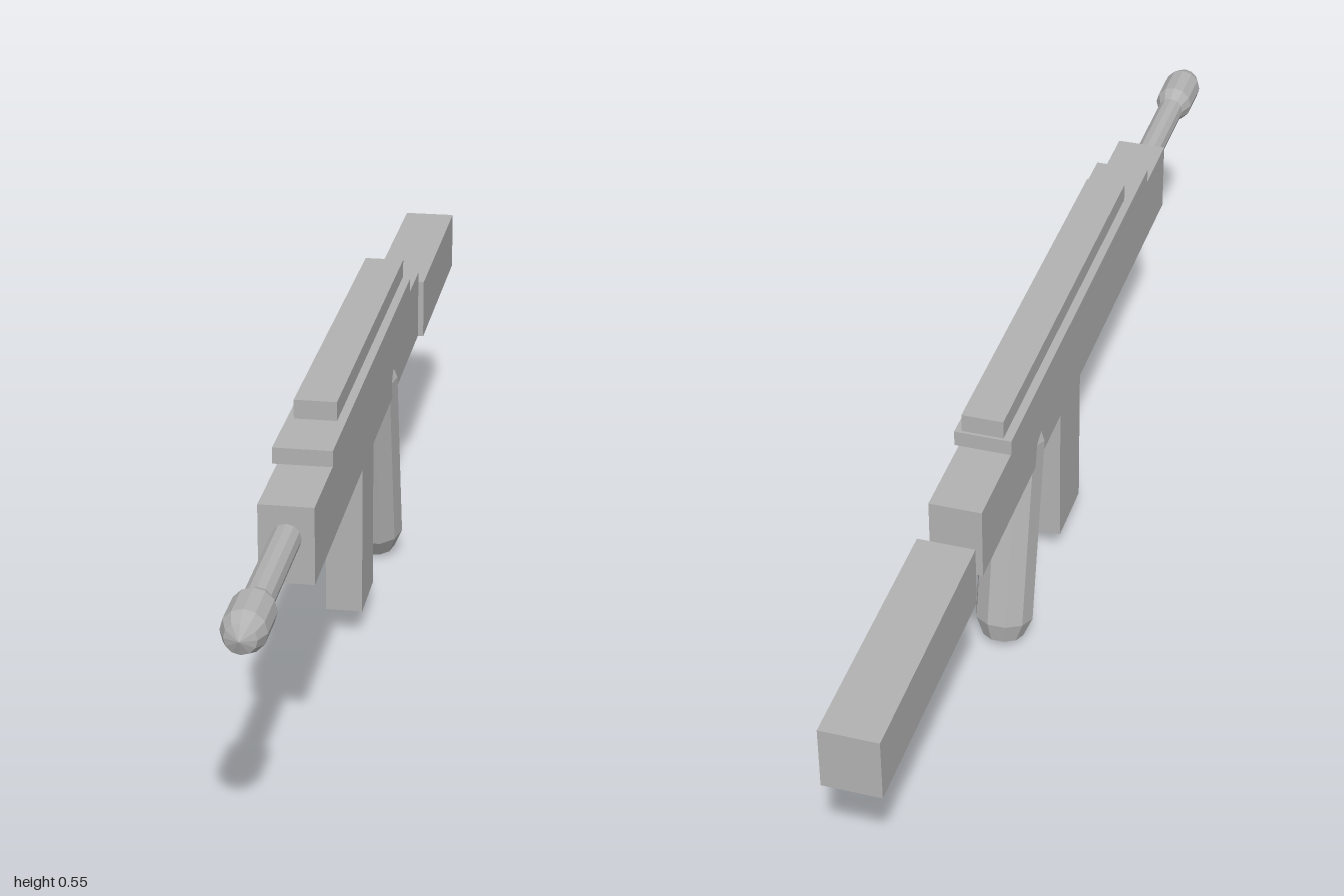
import * as THREE from 'three';

export function createModel() {
  const model = new THREE.Group();
  model.name = 'model';
  const grey = new THREE.MeshStandardMaterial({ color: 0xb2b2b2, flatShading: true });
  grey.name = 'plain grey';

  const add = (name, geometry) => {
    const mesh = new THREE.Mesh(geometry, grey);
    mesh.name = name;
    model.add(mesh);
    return mesh;
  };

  // Box given by half width and its y and z ranges
  const block = (name, halfWidth, y0, y1, z0, z1) => {
    const mesh = add(name, new THREE.BoxGeometry(halfWidth * 2, y1 - y0, z1 - z0));
    mesh.position.set(0, (y0 + y1) / 2, (z0 + z1) / 2);
  };
  block('body', 0.044, 0.35, 0.478, -0.505, 0.64);
  block('stock', 0.048, 0.333, 0.443, -1, -0.552);
  block('lowerRail', 0.048, 0.486, 0.513, -0.36, 0.497);
  block('upperRail', 0.035, 0.517, 0.549, -0.36, 0.38);
  block('magazine', 0.032, 0.05, 0.36, -0.022, 0.102);

  // Barrel and rounded muzzle along z
  const barrel = add('barrel', new THREE.CylinderGeometry(0.024, 0.024, 0.29, 12));
  barrel.rotation.x = Math.PI / 2;
  barrel.position.set(0, 0.425, 0.765);

  const muzzle = add('muzzle', new THREE.CapsuleGeometry(0.035, 0.072, 2, 12));
  muzzle.rotation.x = Math.PI / 2;
  muzzle.position.set(0, 0.425, 0.929);

  // Slanted grip, its top sunk into the body
  const grip = add('grip', new THREE.CapsuleGeometry(0.051, 0.342, 2, 10));
  grip.rotation.x = 0.22;
  grip.position.set(0, 0.218, -0.22);

  return model;
}
